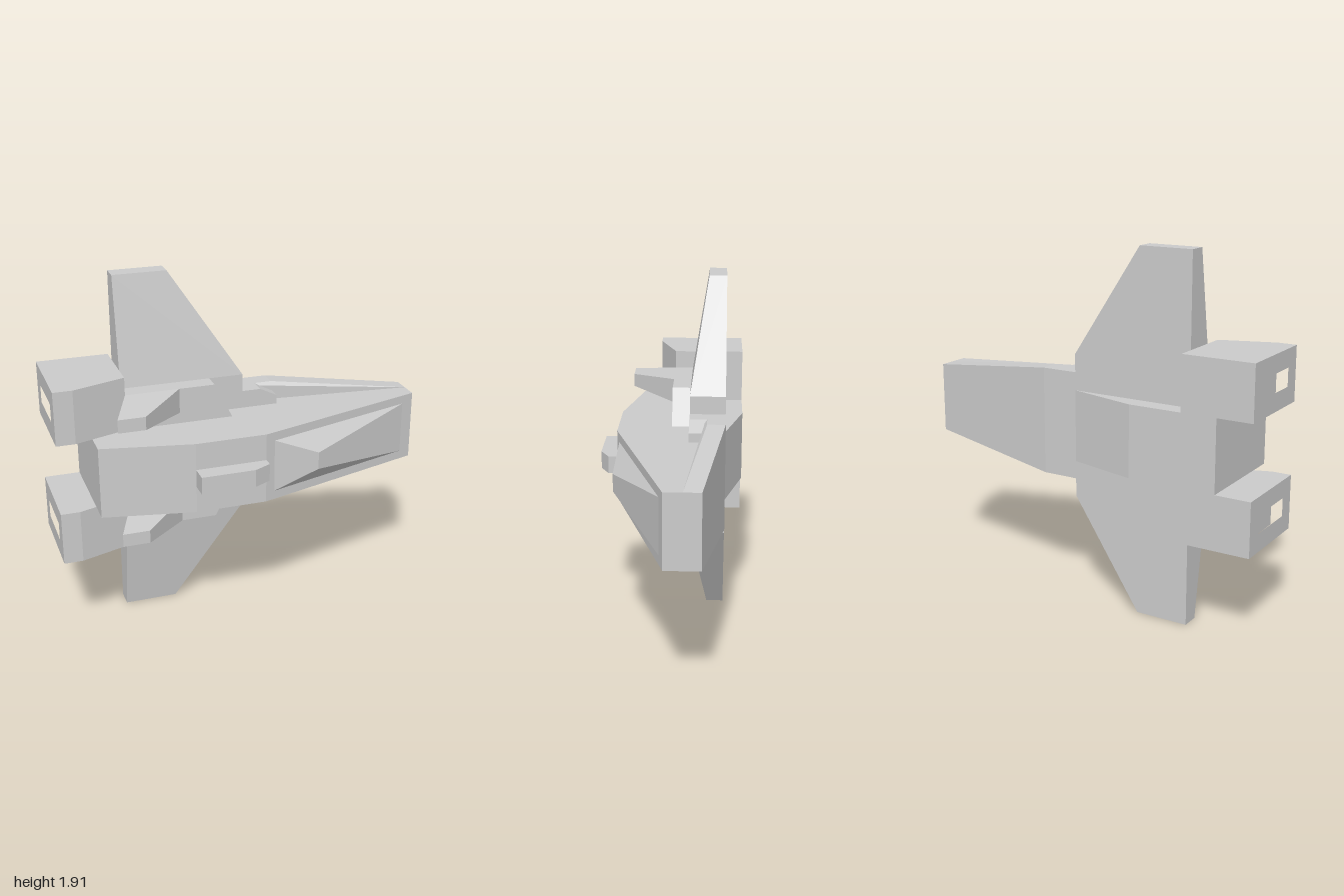
import * as THREE from 'three';
import { ConvexGeometry } from 'three/addons/geometries/ConvexGeometry.js';

const MID = 0.953; // height of the ship's plane of symmetry

export function createModel() {
  const ship = new THREE.Group();
  ship.name = 'spaceship';
  const material = new THREE.MeshStandardMaterial({ color: 0xcccccc, flatShading: true });

  const add = (name, geometry, parent = ship) => {
    const mesh = new THREE.Mesh(geometry, material);
    mesh.name = name;
    parent.add(mesh);
    return mesh;
  };

  // Convex solid from [x, offset from mid-plane, z] corners
  const solid = (name, corners, side = 1, parent = ship) =>
    add(name, new ConvexGeometry(corners.map(([x, w, z]) => new THREE.Vector3(x, MID + side * w, z))), parent);

  // Four corners of a cross-section at one x
  const section = (x, w0, w1, z0, z1) => [[x, w0, z0], [x, w1, z0], [x, w1, z1], [x, w0, z1]];

  // Side profile in (x, z), extruded across the mid-plane
  const slab = (name, profile, halfWidth) => {
    const shape = new THREE.Shape(profile.map(([x, z]) => new THREE.Vector2(x, -z)));
    const geometry = new THREE.ExtrudeGeometry(shape, { depth: 2 * halfWidth, bevelEnabled: false });
    geometry.rotateX(-Math.PI / 2).translate(0, MID - halfWidth, 0);
    return add(name, geometry);
  };

  // Main body with the raised belly keel
  slab('fuselage', [
    [1, 0], [0.04, 0.285], [-0.335, 0.285], [-0.81, 0.19], [-0.81, -0.38],
    [-0.335, -0.38], [0.04, -0.285], [0.235, -0.285], [1, -0.18],
  ], 0.19);

  // Small block on the spine
  slab('dorsalBlock', [[-0.335, 0.25], [-0.335, 0.38], [-0.05, 0.38], [0.04, 0.335], [0.04, 0.25]], 0.047);

  // Faceted canopy
  solid('canopy', [-1, 1].flatMap((s) => [
    [0.09, s * 0.143, 0.27], [0.33, s * 0.047, 0.285], [0.935, s * 0.143, 0.019], [0.33, s * 0.047, 0.15],
  ]));

  // Flared lower edge of the nose
  solid('noseFlare', [
    ...section(0.04, -0.285, 0.285, -0.285, -0.19),
    ...section(0.235, -0.285, 0.285, -0.285, -0.19),
    ...section(1, -0.19, 0.19, -0.18, -0.092),
  ]);

  for (const side of [1, -1]) {
    const half = new THREE.Group();
    half.name = side > 0 ? 'upperSide' : 'lowerSide';
    ship.add(half);

    // Wing root box and tapering wing
    solid('wingRoot', [...section(-0.62, 0.1, 0.38, -0.285, -0.097), ...section(0.04, 0.1, 0.38, -0.285, -0.097)], side, half);
    solid('wing', [
      ...section(-0.62, 0.38, 0.38, -0.285, -0.097), ...section(0.04, 0.38, 0.38, -0.285, -0.097),
      ...section(-0.62, 0.953, 0.953, -0.285, -0.19), ...section(-0.335, 0.953, 0.953, -0.285, -0.19),
    ], side, half);

    // Shoulder block with a slanted front
    solid('shoulder', [-0.1, 0].flatMap((z) => [
      [-0.62, 0.15, z], [-0.62, 0.38, z], [-0.145, 0.38, z], [-0.05, 0.19, z], [-0.05, 0.15, z],
    ]), side, half);

    // Swept tail fin
    solid('tailFin', [
      [-0.62, 0.248, 0], [-0.335, 0.248, 0], [-0.335, 0.38, 0], [-0.62, 0.38, 0],
      [-0.715, 0.28, 0.238], [-0.573, 0.28, 0.238], [-0.573, 0.35, 0.238], [-0.715, 0.35, 0.238],
    ], side, half);

    // Gun housing ahead of the wing root
    solid('gun', [-0.19, -0.097].flatMap((z) => [
      [0.03, 0.15, z], [0.03, 0.285, z], [0.14, 0.285, z], [0.235, 0.238, z], [0.235, 0.15, z],
    ]), side, half);

    // Engine body
    solid('engine', [...section(-0.9, 0.19, 0.475, -0.38, 0.093), ...section(-0.62, 0.19, 0.475, -0.38, 0)], side, half);

    // Engine nozzle: a frame around a rectangular recess
    const rect = (Type, z0, z1, w0, w1) => {
      const path = new Type();
      path.moveTo(-z0, w0).lineTo(-z1, w0).lineTo(-z1, w1).lineTo(-z0, w1).closePath();
      return path;
    };
    const frame = rect(THREE.Shape, -0.38, 0.093, -0.1425, 0.1425);
    frame.holes.push(rect(THREE.Path, -0.285, 0, -0.0475, 0.0475));
    const nozzle = new THREE.ExtrudeGeometry(frame, { depth: 0.1, bevelEnabled: false });
    nozzle.rotateY(Math.PI / 2).translate(-1, MID + side * 0.3325, 0);
    add('engineNozzle', nozzle, half);
  }
  return ship;
}
